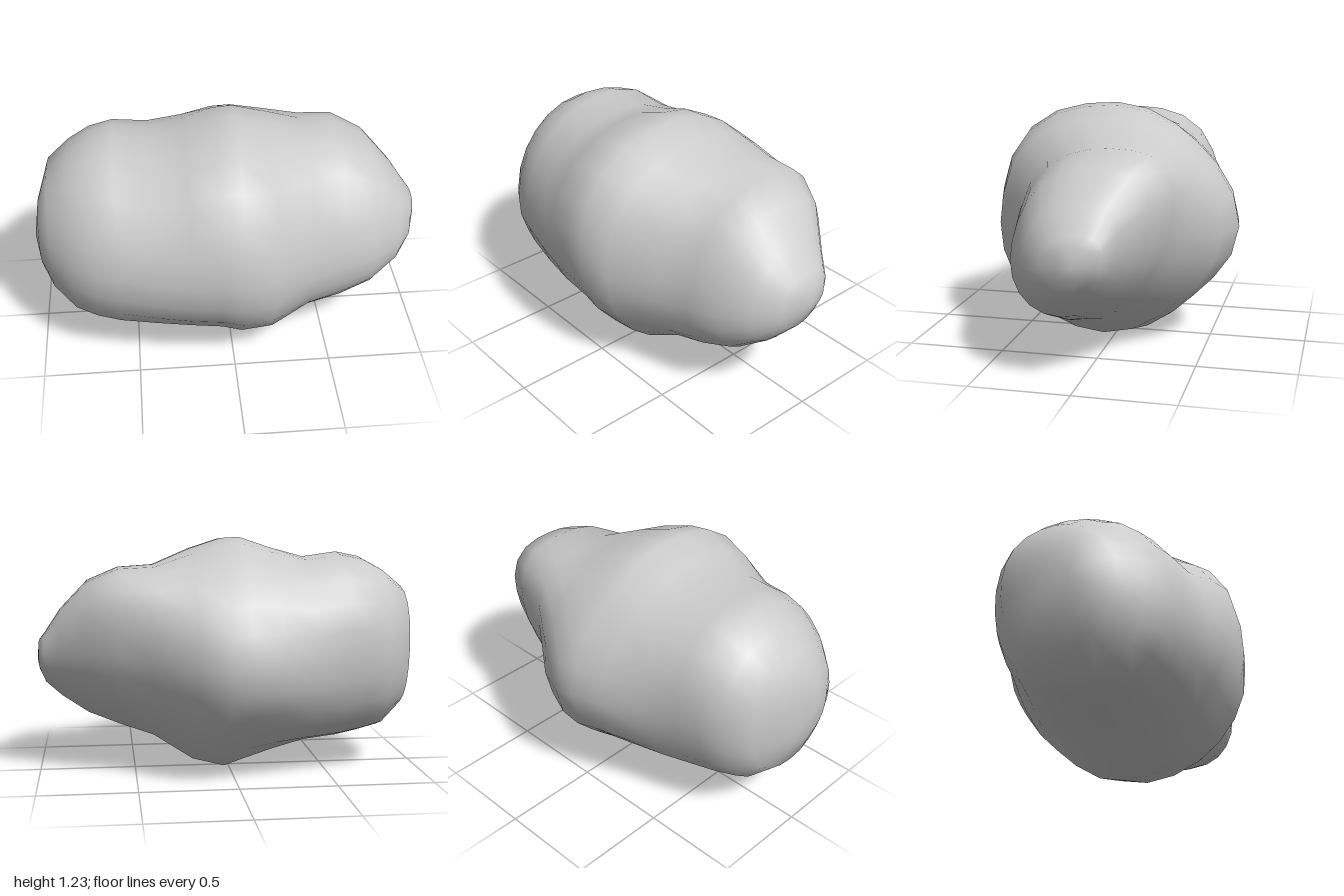
import * as THREE from 'three';
import { mergeVertices } from 'three/addons/utils/BufferGeometryUtils.js';

// Cross-sections along x: [x, top, bottom, front z, back z, lean]
const SECTIONS = [
  [-1.0, 0.64, 0.64, 0.12, 0.12, 0],
  [-0.975, 0.82, 0.46, 0.23, -0.05, 0.05],
  [-0.92, 0.97, 0.31, 0.33, -0.27, 0.08],
  [-0.81, 1.06, 0.2, 0.44, -0.36, 0.08],
  [-0.7, 1.12, 0.17, 0.51, -0.41, 0.08],
  [-0.58, 1.145, 0.145, 0.545, -0.44, 0.08],
  [-0.4, 1.12, 0.13, 0.59, -0.5, 0.05],
  [-0.22, 1.17, 0.085, 0.635, -0.58, 0],
  [-0.06, 1.225, 0.035, 0.645, -0.63, -0.02],
  [0.04, 1.22, 0, 0.64, -0.645, 0],
  [0.2, 1.17, 0.035, 0.6, -0.58, 0.05],
  [0.4, 1.09, 0.16, 0.455, -0.43, 0.2],
  [0.58, 1.08, 0.22, 0.41, -0.38, 0.28],
  [0.74, 1.01, 0.285, 0.365, -0.3, 0.28],
  [0.88, 0.86, 0.385, 0.27, -0.19, 0.25],
  [0.96, 0.74, 0.47, 0.16, -0.14, 0.2],
  [0.99, 0.7, 0.55, 0.07, -0.1, 0.1],
  [1.0, 0.6, 0.6, -0.01, -0.01, 0],
];
const SIDES = 24;

// Corner fullness of each lobe: upper front, upper back, lower back, lower front
const LEFT_LOBE = [0.0, 0.06, 0.05, 0.0];
const MIDDLE = [0.07, -0.06, -0.1, -0.02];
const RIGHT_LOBE = [0.08, 0.1, 0.0, 0.0];

function fullness(x, t, quadrant) {
  const lobe = x < 0 ? LEFT_LOBE : RIGHT_LOBE;
  const blend = THREE.MathUtils.smoothstep(Math.abs(x), 0.05, 0.5);
  const amount = THREE.MathUtils.lerp(MIDDLE[quadrant], lobe[quadrant], blend);
  return 1 + amount * Math.sin(2 * t) ** 2;
}

// Skin the leaning oval sections into one closed lumpy body
function createBody() {
  const positions = [];
  const index = [];
  SECTIONS.forEach(([x, top, bottom, front, back, lean], i) => {
    for (let j = 0; j < SIDES; j++) {
      const t = (j / SIDES) * Math.PI * 2;
      const full = fullness(x, t, Math.floor((4 * j) / SIDES));
      positions.push(
        x,
        (top + bottom) / 2 + ((top - bottom) / 2) * Math.sin(t) * full,
        (front + back) / 2 + ((front - back) / 2) * Math.cos(t + lean) * full
      );
      if (i === SECTIONS.length - 1) continue;
      const a = i * SIDES + j;
      const c = i * SIDES + ((j + 1) % SIDES);
      index.push(a, a + SIDES, c, c, a + SIDES, c + SIDES);
    }
  });
  const geometry = new THREE.BufferGeometry();
  geometry.setAttribute('position', new THREE.Float32BufferAttribute(positions, 3));
  geometry.setIndex(index);
  // weld each end ring into a single tip
  const welded = mergeVertices(geometry, 1e-4);
  welded.computeVertexNormals();
  return welded;
}

export function createModel() {
  const group = new THREE.Group();
  group.name = 'boulder';
  const body = new THREE.Mesh(createBody(), new THREE.MeshStandardMaterial({ color: 0xcccccc }));
  body.name = 'rockBody';
  group.add(body);
  return group;
}
